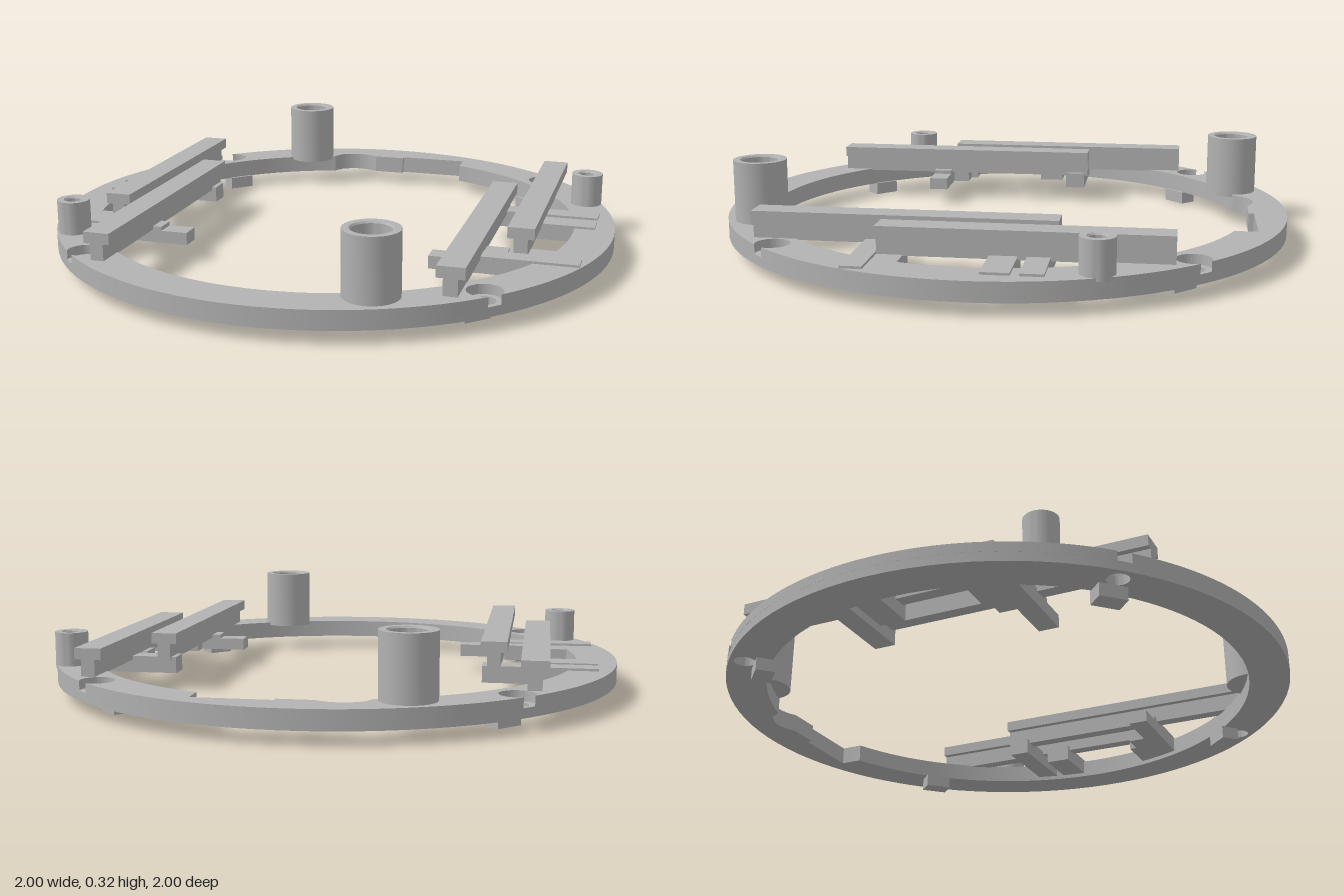
import * as THREE from 'three';
import { toCreasedNormals } from 'three/addons/utils/BufferGeometryUtils.js';

export function createModel() {
  const model = new THREE.Group();
  model.name = 'ringChassis';
  const grey = new THREE.MeshStandardMaterial({ color: 0xb2b2b2 });
  grey.name = 'plainGrey';

  const add = (name, geometry, parent = model) => {
    const mesh = new THREE.Mesh(geometry, grey);
    mesh.name = name;
    parent.add(mesh);
    return mesh;
  };
  // Box given by its limits on each axis
  const box = (name, x0, x1, y0, y1, z0, z1) => {
    const g = new THREE.BoxGeometry(Math.abs(x1 - x0), y1 - y0, z1 - z0);
    g.translate((x0 + x1) / 2, (y0 + y1) / 2, (z0 + z1) / 2);
    return add(name, g);
  };
  // Flat slab from a plan shape (shape y points to the back)
  const slab = (name, shape, y0, y1) => {
    const g = new THREE.ExtrudeGeometry(shape, { depth: y1 - y0, bevelEnabled: false, curveSegments: 48 });
    g.rotateX(-Math.PI / 2).translate(0, y0, 0);
    return add(name, toCreasedNormals(g, 0.5));
  };

  const corners = [45, 135, 225, 315].map(THREE.MathUtils.degToRad);
  const holeR = 0.9475; // distance of the screw holes from the centre

  // Inner opening of the ring, with the stepped cut-out at the back
  const opening = () => {
    const p = new THREE.Path();
    p.moveTo(0.3, 0.806);
    p.lineTo(0.3, 0.885);
    p.lineTo(0.04, 0.885);
    p.lineTo(0.04, 0.866);
    p.lineTo(-0.08, 0.866);
    p.quadraticCurveTo(-0.16, 0.915, -0.23, 0.86);
    p.lineTo(-0.25, 0.823);
    p.absarc(0, 0, 0.86, Math.atan2(0.823, -0.25), Math.atan2(0.806, 0.3) + Math.PI * 2, false);
    return p;
  };

  // Lower layer: ring with four through holes
  const lower = new THREE.Shape();
  lower.absarc(0, 0, 1, 0, Math.PI * 2, false);
  lower.holes.push(opening());
  for (const a of corners) {
    const hole = new THREE.Path();
    hole.absarc(holeR * Math.cos(a), holeR * Math.sin(a), 0.036, 0, Math.PI * 2, true);
    lower.holes.push(hole);
  }
  slab('ringLower', lower, 0.045, 0.077);

  // Upper layer: wider screw pockets that break through the rim
  const upper = new THREE.Shape();
  corners.forEach((a, i) => {
    const from = i ? corners[i - 1] + 0.024 : a - Math.PI / 2 + 0.024;
    upper.absarc(0, 0, 1, from, a - 0.024, false);
    upper.absarc(holeR * Math.cos(a), holeR * Math.sin(a), 0.058, a - 0.43, a + 0.43, true);
  });
  upper.holes.push(opening());
  slab('ringUpper', upper, 0.077, 0.11);

  // Feet under the ring, just inside each screw hole
  for (const a of corners) {
    const foot = add('foot', new THREE.BoxGeometry(0.066, 0.046, 0.096));
    foot.position.set(0.882 * Math.cos(a), 0.023, 0.882 * Math.sin(a));
    foot.rotation.y = -a;
  }

  // Hollow posts
  const post = (name, x, z, r, inner, top, floor) => {
    const profile = [
      [0, 0.1], [r, 0.1], [r, top], [inner + 0.005, top],
      [inner, top - 0.006], [inner, floor], [0, floor],
    ].map(([px, py]) => new THREE.Vector2(px, py));
    const g = toCreasedNormals(new THREE.LatheGeometry(profile, 48), 0.5);
    add(name, g).position.set(x, 0, z);
  };
  post('tallPost', -0.353, -0.815, 0.091, 0.063, 0.322, 0.13);
  post('tallPost', 0.353, 0.812, 0.091, 0.063, 0.322, 0.13);
  post('shortPost', -0.805, 0.482, 0.056, 0.028, 0.225, 0.12);
  post('shortPost', 0.866, -0.387, 0.056, 0.028, 0.225, 0.12);

  // T-section rail running front to back
  const rail = (name, x, z0, z1) => {
    const s = new THREE.Shape([
      [-0.023, 0.106], [0.023, 0.106], [0.023, 0.166], [0.045, 0.166],
      [0.045, 0.204], [-0.045, 0.204], [-0.045, 0.166], [-0.023, 0.166],
    ].map(([px, py]) => new THREE.Vector2(px, py)));
    const g = new THREE.ExtrudeGeometry(s, { depth: z1 - z0, bevelEnabled: false });
    add(name, g).position.set(x, 0, z0);
  };

  for (const s of [1, -1]) {
    rail('outerRail', s * 0.722, -0.617, 0.31);
    rail('innerRail', s * 0.58, -0.25, 0.755);

    // Cross bars that carry the rails
    box('rearCrossBar', s * 0.54, s * 0.93, 0.06, 0.118, -0.237, -0.163);
    box('middleCrossBar', s * 0.68, s * 0.93, 0.06, 0.118, -0.135, -0.045);
    box('frontCrossBar', s * 0.525, s * 0.922, 0.06, 0.118, 0.31, 0.38);
    box('frontPad', s * 0.68, s * 0.88, 0.06, 0.109, 0.225, 0.312);
    box('frontInnerPad', s * 0.6, s * 0.68, 0.06, 0.114, 0.25, 0.312);
    box('innerTab', s * 0.43, s * 0.526, 0.06, 0.104, 0.31, 0.38);
  }
  return model;
}
